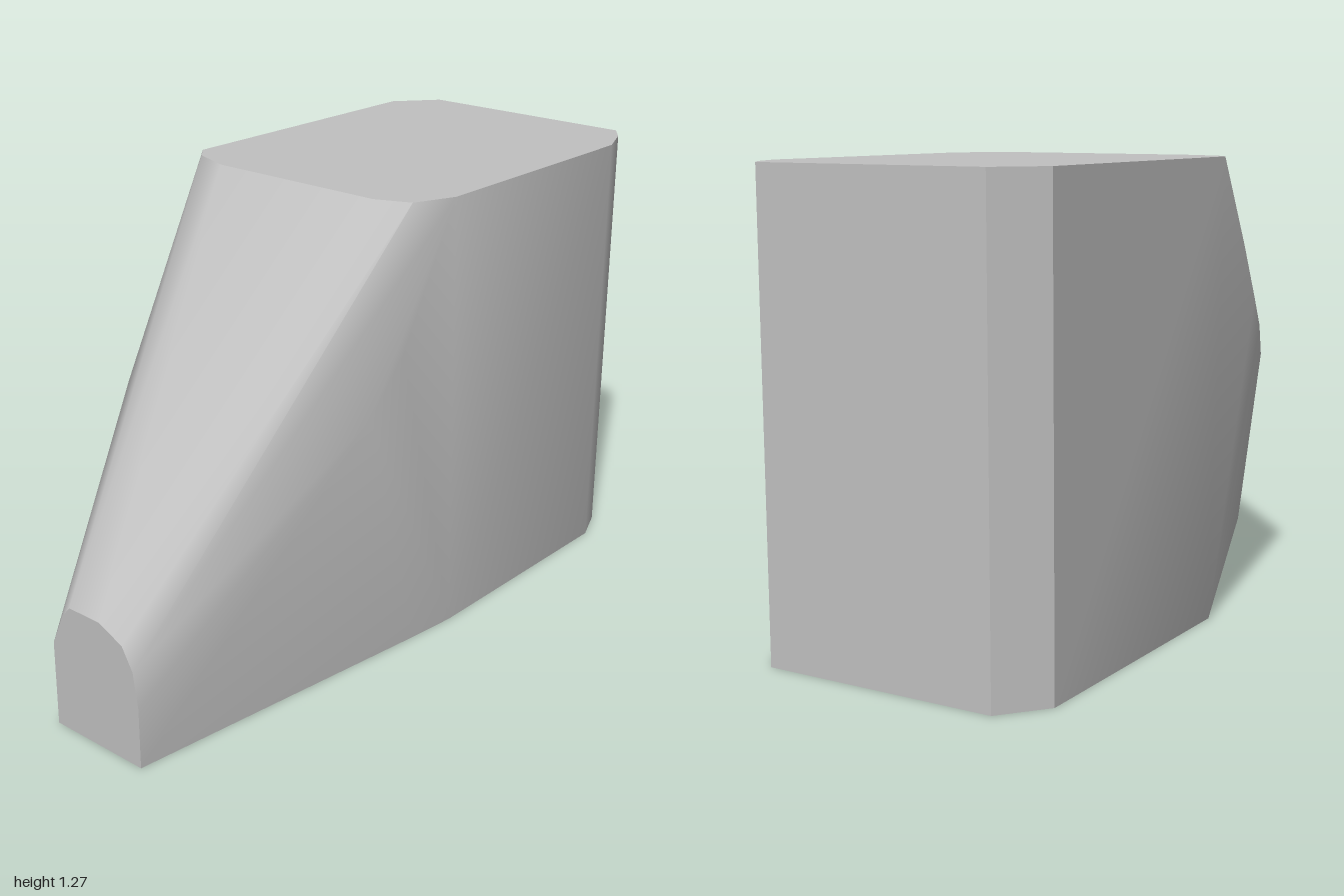
import * as THREE from 'three';
import { ConvexGeometry } from 'three/addons/geometries/ConvexGeometry.js';
import { toCreasedNormals } from 'three/addons/utils/BufferGeometryUtils.js';

const HEIGHT = 1.27;

// Rounded tail corners [x, z], shared by the top and the base
const tail = [[0.88, -0.43], [1, -0.33], [1, 0.34], [0.94, 0.385], [0.83, 0.43]];

// Front ends of the flat top and of the base [x, z]
const topFront = [[0.07, 0.43], [-0.05, 0.38], [-0.09, 0.28], [-0.09, -0.27], [-0.05, -0.385], [0, -0.43]];
const baseFront = [[0.1, 0.43], [-0.05, 0.415], [0.07, -0.43]];

// Narrow arched nose face at x = -1 [y, z]
const nose = [
  [0, -0.01], [0.24, -0.01], [0.33, 0.03], [0.365, 0.06],
  [0.365, 0.17], [0.33, 0.25], [0.27, 0.285], [0.17, 0.3], [0, 0.3],
];

// Soft shoulders where the flanks turn into the slope [x, y, z]
const shoulders = [
  [-0.13, 1.02, -0.43], [-0.2, 0.87, -0.43], [-0.28, 0.78, -0.41], [-0.38, 0.68, -0.37],
  [-0.14, 0.89, 0.43], [-0.26, 0.74, 0.42],
];

export function createModel() {
  const group = new THREE.Group();
  group.name = 'wedgeBlock';
  const grey = new THREE.MeshStandardMaterial({ color: 0xc0c0c0 });
  grey.name = 'light grey';

  const level = (outline, y) => outline.map(([x, z]) => new THREE.Vector3(x, y, z));
  const points = [
    ...level([...tail, ...topFront], HEIGHT),
    ...level([...tail, ...baseFront], 0),
    ...nose.map(([y, z]) => new THREE.Vector3(-1, y, z)),
    ...shoulders.map((p) => new THREE.Vector3(...p)),
  ];

  // Solid body: smooth over the soft bends, sharp at the cut faces
  const body = new THREE.Mesh(toCreasedNormals(new ConvexGeometry(points), 0.66), grey);
  body.name = 'body';
  group.add(body);
  return group;
}
